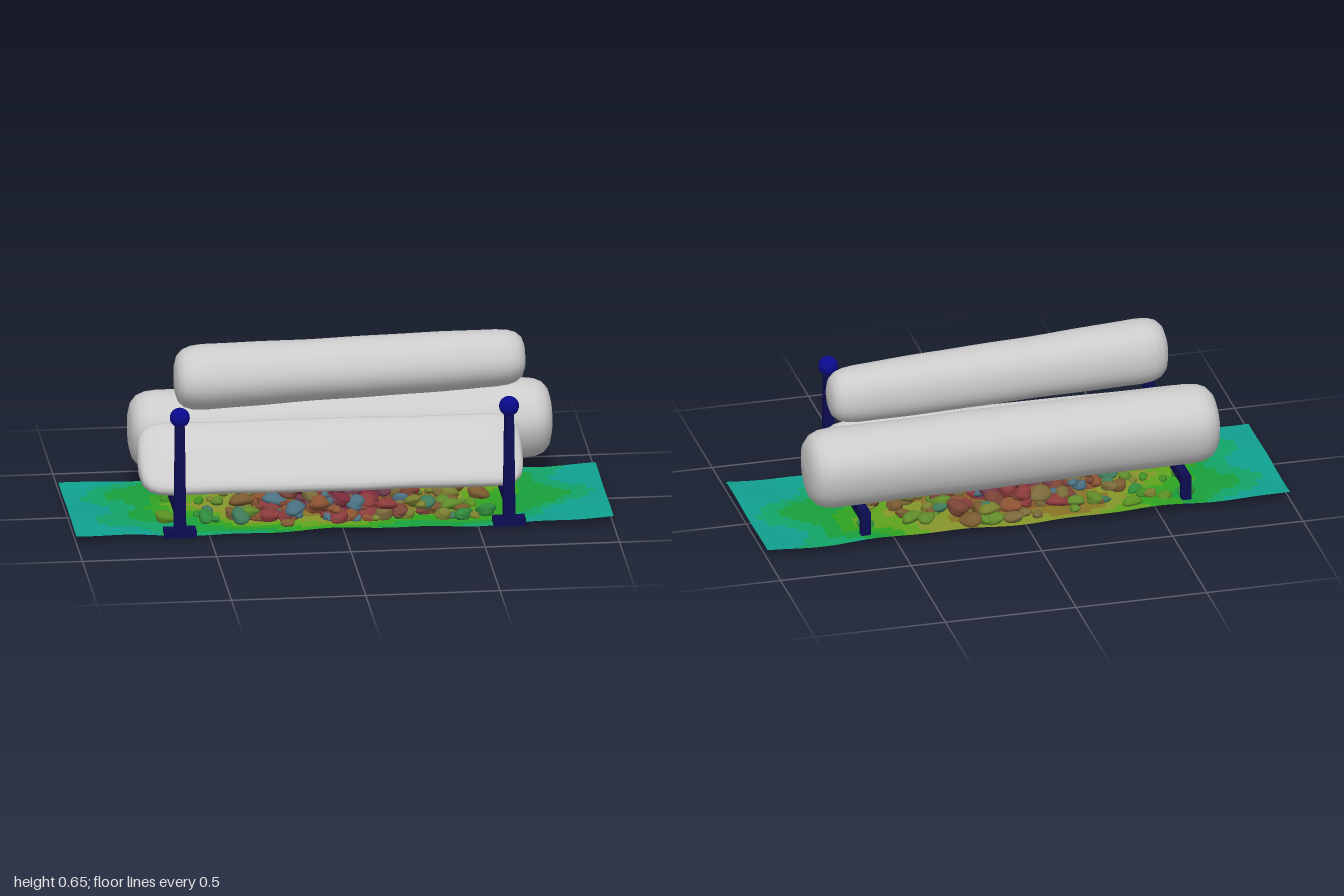
import * as THREE from 'three';
import { mergeVertices } from 'three/addons/utils/BufferGeometryUtils.js';

const paint = (color, side = THREE.FrontSide) => new THREE.MeshStandardMaterial({ color, side });
const lerp = THREE.MathUtils.lerp;

function seeded(seed) {
  return () => {
    seed = (seed * 16807) % 2147483647;
    return seed / 2147483647;
  };
}

// Log lofted along x: a closed [z, y] section, rounded ends, axis from "from" to "to"
function logGeometry(section, from, to, r0, r1, phase) {
  const ends = [[0, 0], [0.004, 0.45], [0.014, 0.7], [0.035, 0.87], [0.065, 0.96], [0.11, 1]];
  const length = to[0] - from[0];
  const stations = ends.map(([d, s]) => [d, s]);
  for (let i = 1; i < 16; i++) stations.push([lerp(0.11, length - 0.11, i / 16), 1]);
  [...ends].reverse().forEach(([d, s]) => stations.push([length - d, s]));

  const pos = [], index = [], n = section.length;
  stations.forEach(([d, s], i) => {
    const t = d / length;
    const wave = 1 + 0.012 * Math.sin(d * 8 + phase) + 0.006 * Math.sin(d * 19 + phase * 2);
    section.forEach(([z, y], j) => {
      const r = s * lerp(r0, r1, t) * wave;
      pos.push(from[0] + d, lerp(from[1], to[1], t) + y * r, lerp(from[2], to[2], t) + z * r);
      if (i === stations.length - 1) return;
      const a = i * n + j, c = i * n + (j + 1) % n;
      index.push(a, a + n, c, c, a + n, c + n);
    });
  });
  const g = new THREE.BufferGeometry();
  g.setAttribute('position', new THREE.Float32BufferAttribute(pos, 3));
  g.setIndex(index);
  g.computeVertexNormals();
  return g;
}

// Slightly uneven round section of unit radius
function roundSection(phase) {
  return Array.from({ length: 36 }, (_, i) => {
    const a = (i / 36) * Math.PI * 2;
    const r = 1 + 0.015 * Math.sin(3 * a + phase) + 0.01 * Math.sin(5 * a + phase);
    return [r * Math.cos(a), r * Math.sin(a)];
  });
}

// Split section: flat sloping face at the front, round back
function splitSection() {
  const pts = [
    [0.257, 0.165], [0.24, 0.2], [0.19, 0.246], [0.13, 0.297], [0.07, 0.34], [0.028, 0.357],
    [0.002, 0.335], [0, 0.265], [0.03, 0.19], [0.08, 0.145], [0.14, 0.128], [0.2, 0.133], [0.243, 0.147],
  ];
  const curve = new THREE.CatmullRomCurve3(pts.map(([z, y]) => new THREE.Vector3(z - 0.12, y - 0.23, 0)), true);
  return curve.getSpacedPoints(48).slice(0, 48).map((p) => [p.x, p.y]);
}

const groundHeight = (x, z) =>
  0.022 + 0.005 * Math.sin(x * 7 + z * 5) + 0.003 * Math.sin(x * 17 - z * 13)
  + 0.008 * Math.pow(Math.abs(x), 6) - 0.015 * z;

// Wavy ground sheet, divided into colour bands from the middle outward
function createGround() {
  const group = new THREE.Group();
  group.name = 'ground';
  const full = new THREE.PlaneGeometry(2, 0.61, 64, 20).rotateX(-Math.PI / 2).translate(0, 0, -0.005);
  const p = full.attributes.position;
  for (let i = 0; i < p.count; i++) p.setY(i, groundHeight(p.getX(i), p.getZ(i)));
  full.computeVertexNormals();

  const colors = [0x8a5a28, 0x8a7426, 0x86962a, 0x5fa41e, 0x2fa420, 0x18a03c, 0x12a468, 0x10a090];
  const bands = colors.map(() => []);
  const ix = full.index.array;
  for (let i = 0; i < ix.length; i += 6) {
    const x = (p.getX(ix[i]) + p.getX(ix[i + 4])) / 2;
    const z = (p.getZ(ix[i]) + p.getZ(ix[i + 4])) / 2;
    const d = Math.hypot(x * 0.98, z > 0 ? z * 2.3 : z * 1.3)
      + 0.04 * Math.sin(x * 13 + z * 21) + 0.04 * Math.sin(z * 17 - x * 9);
    const band = THREE.MathUtils.clamp(Math.floor((d - 0.15) / 0.85 * 8), 0, 7);
    bands[band].push(...ix.slice(i, i + 6));
  }
  bands.forEach((faces, k) => {
    const g = full.clone();
    g.setIndex(faces);
    const mesh = new THREE.Mesh(g, paint(colors[k], THREE.DoubleSide));
    mesh.name = 'groundBand';
    group.add(mesh);
  });
  return group;
}

// A few pebble shapes made by pushing a sphere in and out
function pebbleGeometry(phase) {
  let g = new THREE.IcosahedronGeometry(1, 3);
  g.deleteAttribute('normal');
  g.deleteAttribute('uv');
  g = mergeVertices(g, 1e-4);
  const p = g.attributes.position, v = new THREE.Vector3();
  for (let i = 0; i < p.count; i++) {
    v.fromBufferAttribute(p, i);
    const r = 1 + 0.12 * Math.sin(v.x * 3 + phase) + 0.1 * Math.sin(v.y * 4 + v.z * 2 + phase * 2);
    p.setXYZ(i, v.x * r, v.y * r, v.z * r);
  }
  g.computeVertexNormals();
  return g;
}

// Mound of pebbles: red in the middle, earthy and teal around, green outside
function createPebbles() {
  const group = new THREE.Group();
  group.name = 'pebbles';
  const rand = seeded(4217);
  const shapes = [0.3, 1.7, 3.1, 4.6].map(pebbleGeometry);
  const zones = [
    [0x8c2446, 0x7c2c3c, 0x9a3440, 0x6e3a4a],
    [0x8a5232, 0x7a4436, 0x4a7080, 0x7a6a3a, 0x8a3a3a],
    [0x5f8a2a, 0x7a8030, 0x3f7a5a, 0x7a5a30],
    [0x3f8f24, 0x2f8a3a, 0x5a8f22],
  ].map((zone) => zone.map((c) => paint(c)));

  const add = (x, y, z, size) => {
    const d = Math.hypot(x, z * 1.3) + (rand() - 0.5) * 0.12;
    const zone = zones[d < 0.18 ? 0 : d < 0.35 ? 1 : d < 0.52 ? 2 : 3];
    const mesh = new THREE.Mesh(shapes[Math.floor(rand() * 4)], zone[Math.floor(rand() * zone.length)]);
    mesh.name = 'pebble';
    mesh.position.set(x, y, z);
    mesh.rotation.set((rand() - 0.5) * 0.6, rand() * 6.28, (rand() - 0.5) * 0.6);
    mesh.scale.set(size * 1.25, size * 0.75, size);
    group.add(mesh);
  };
  // Bottom layer lying in the sheet
  for (let i = 0; i < 150; i++) {
    const x = (rand() + rand() - 1) * 0.72, z = -0.02 + (rand() - 0.5) * 0.52;
    const size = 0.01 + 0.025 * rand();
    add(x, groundHeight(x, z) + size * 0.45, z, size);
  }
  // Heap above it
  for (let i = 0; i < 150; i++) {
    const x = (rand() + rand() - 1) * 0.56, z = -0.02 + (rand() - 0.5) * 0.46;
    const top = 0.135 - 0.16 * Math.abs(x) - 0.5 * z * z;
    add(x, lerp(0.045, top, rand()), z, 0.014 + 0.022 * rand());
  }
  return group;
}

// Andiron: foot, tapered post with ball, bar and rear leg
function createAndiron(x) {
  const group = new THREE.Group();
  group.name = 'andiron';
  const iron = paint(0x0c0c52), ballPaint = paint(0x0a0a8c);
  const add = (name, geometry, y, z, material = iron) => {
    const mesh = new THREE.Mesh(geometry, material);
    mesh.name = name;
    mesh.position.set(0, y, z);
    group.add(mesh);
  };
  add('foot', new THREE.BoxGeometry(0.12, 0.028, 0.058), 0.022, 0.28);
  const post = new THREE.CylinderGeometry(0.024, 0.031, 0.4, 4).toNonIndexed();
  post.rotateY(Math.PI / 4).computeVertexNormals();
  add('post', post, 0.235, 0.28);
  add('ball', new THREE.SphereGeometry(0.037, 32, 20), 0.47, 0.28, ballPaint);
  add('bar', new THREE.BoxGeometry(0.036, 0.04, 0.55), 0.103, -0.003);
  add('rearLeg', new THREE.BoxGeometry(0.036, 0.078, 0.03), 0.047, -0.26);
  group.position.x = x;
  return group;
}

export function createModel() {
  const model = new THREE.Group();
  model.name = 'fireplaceLogs';
  const wood = paint(0xcccccc);
  const addLog = (name, ...args) => {
    const mesh = new THREE.Mesh(logGeometry(...args), wood);
    mesh.name = name;
    model.add(mesh);
  };
  addLog('backLog', roundSection(0.5), [-0.76, 0.28, -0.148], [0.82, 0.271, -0.163], 0.147, 0.15, 1);
  addLog('frontSplitLog', splitSection(), [-0.75, 0.232, 0.1], [0.68, 0.23, 0.124], 1, 1, 2.4);
  addLog('topLog', roundSection(2), [-0.605, 0.527, 0.004], [0.715, 0.53, -0.104], 0.122, 0.106, 0.6);
  model.add(createGround(), createPebbles(), createAndiron(-0.613), createAndiron(0.613));
  return model;
}
